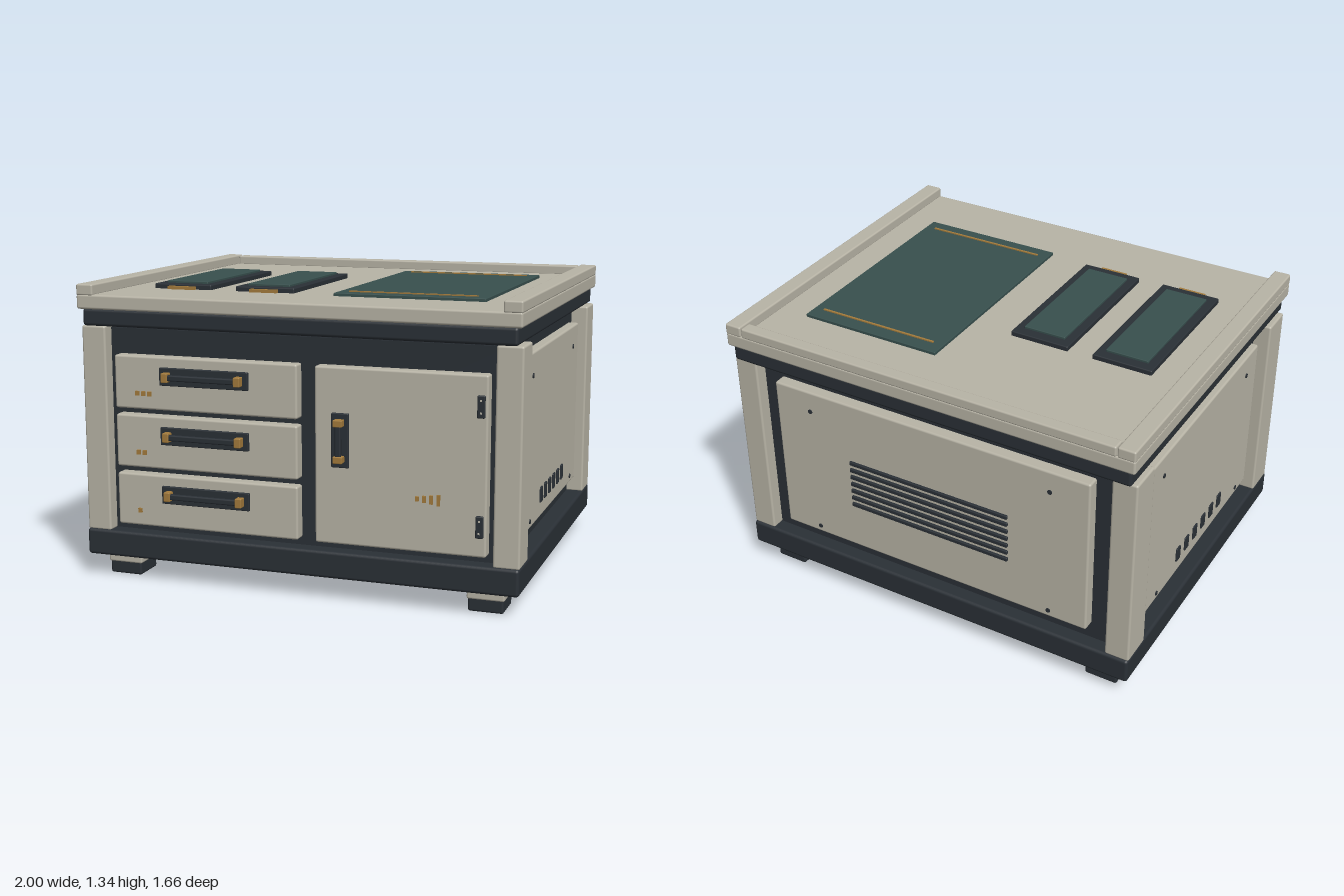
import * as THREE from 'three';
import { RoundedBoxGeometry } from 'three/addons/geometries/RoundedBoxGeometry.js';

const mat = (color) => new THREE.MeshStandardMaterial({ color });

export function createModel() {
  const model = new THREE.Group();
  const light = mat(0xb8b4a6), dark = mat(0x2a3036), glass = mat(0x38504e), brass = mat(0xa37b3c);

  // Box from its limits; r > 0 softens the edges
  function box(name, m, [x0, x1], [y0, y1], [z0, z1], r = 0, parent = model) {
    const w = x1 - x0, h = y1 - y0, d = z1 - z0;
    const geo = r ? new RoundedBoxGeometry(w, h, d, 2, r) : new THREE.BoxGeometry(w, h, d);
    const mesh = new THREE.Mesh(geo, m);
    mesh.name = name;
    mesh.position.set((x0 + x1) / 2, (y0 + y1) / 2, (z0 + z1) / 2);
    parent.add(mesh);
    return mesh;
  }
  const around = (c, size) => [c - size / 2, c + size / 2];
  const group = (name) => {
    const g = new THREE.Group();
    g.name = name;
    model.add(g);
    return g;
  };
  // Small round screw head facing local +z
  function screw(x, y, z, r, parent) {
    const s = new THREE.Mesh(new THREE.CylinderGeometry(r, r, 0.012, 12), dark);
    s.name = 'screw';
    s.rotation.x = Math.PI / 2;
    s.position.set(x, y, z);
    parent.add(s);
  }

  // Carcass, plinth and worktop
  box('carcass', dark, [-0.92, 0.92], [0.2, 1.137], [-0.73, 0.73]);
  box('plinth', dark, [-1, 1], [0.1, 0.22], [-0.8, 0.8], 0.014);
  box('neck', dark, [-0.98, 0.98], [1.15, 1.227], [-0.815, 0.815], 0.014);
  box('neckCore', dark, [-0.9, 0.9], [1.13, 1.16], [-0.72, 0.72]);
  box('worktop', light, [-1, 1], [1.225, 1.29], [-0.83, 0.83], 0.01);
  box('backRail', light, [-0.915, 0.915], [1.285, 1.332], [-0.83, -0.77], 0.008);

  for (const s of [-1, 1]) {
    box('sideRail', light, around(s * 0.96, 0.08), [1.285, 1.335], [-0.83, 0.83], 0.008);
    // Corner posts and feet
    for (const t of [-1, 1]) {
      box('cornerPost', light, around(s * 0.9425, 0.115), [0.215, 1.148], around(t * 0.71, 0.16), 0.01);
      box('footCollar', light, around(s * 0.845, 0.165), [0.055, 0.105], around(t * 0.655, 0.165), 0.008);
      box('footPad', dark, around(s * 0.845, 0.155), [0, 0.065], around(t * 0.655, 0.155), 0.01);
    }
    // Side panel, built facing +z and turned outward
    const side = group('sidePanel');
    box('panel', light, [-0.58, 0.58], [0.3, 1.075], [0.91, 0.965], 0.01, side);
    for (let i = 0; i < 6; i++)
      box('ventSlot', dark, around((i - 2.5) * 0.092, 0.042), [0.37, 0.44], [0.95, 0.972], 0.004, side);
    for (const x of [-0.45, 0.45]) for (const y of [0.335, 0.975]) screw(x, y, 0.963, 0.011, side);
    side.rotation.y = s * Math.PI / 2;
  }

  // Back panel with louvres
  const back = group('backPanel');
  box('panel', light, [-0.79, 0.79], [0.3, 1.075], [0.72, 0.785], 0.01, back);
  for (let i = 0; i < 7; i++)
    box('louvre', dark, [-0.405, 0.405], around(0.54 + i * 0.038, 0.019), [0.775, 0.796], 0.004, back);
  for (const x of [-0.605, 0.605]) for (const y of [0.335, 0.975]) screw(x, y, 0.783, 0.011, back);
  back.rotation.y = Math.PI;

  // Handle lying along x: plate, two brass mounts and a bar
  function handle(length, width, x, y, upright) {
    const g = group('handle');
    const h = length / 2;
    box('handlePlate', dark, [-h, h], around(0, width), [-0.01, 0.012], 0.004, g);
    for (const s of [-1, 1])
      box('handleMount', brass, around(s * (h - 0.039), 0.03), around(0, 0.042), [0.005, 0.047], 0.004, g);
    box('handleBar', dark, [0.05 - h, h - 0.05], around(0, 0.026), [0.022, 0.042], 0.006, g);
    g.position.set(x, y, 0.785);
    if (upright) g.rotation.z = Math.PI / 2;
  }

  // Drawers, each with a count of brass marks
  [[0.785, 1.023], [0.52, 0.757], [0.253, 0.49]].forEach((ys, i) => {
    box('drawerFront', light, [-0.845, 0.02], ys, [0.72, 0.785], 0.01);
    handle(0.42, 0.08, -0.412, ys[1] - 0.085, false);
    for (let k = 0; k < 3 - i; k++)
      box('drawerMark', brass, around(-0.734 + k * 0.03, 0.017), around(ys[1] - 0.166, 0.02), [0.78, 0.795]);
  });

  // Door with hinges and rising brass marks
  box('door', light, [0.1, 0.855], [0.253, 1.023], [0.72, 0.785], 0.01);
  handle(0.235, 0.078, 0.217, 0.71, true);
  for (const y of [0.385, 0.892]) {
    box('hinge', dark, around(0.827, 0.033), around(y, 0.095), [0.77, 0.797], 0.005);
    for (const d of [-0.026, 0.026])
      box('hingePin', light, around(0.827, 0.008), around(y + d, 0.008), [0.79, 0.799]);
  }
  for (let k = 0; k < 4; k++)
    box('doorMark', brass, around(0.557 + k * 0.031, 0.014), around(0.485, 0.02 + k * 0.009), [0.78, 0.795]);

  // Two narrow framed plates
  for (const x of [-0.645, -0.245]) {
    box('plateFrame', dark, around(x, 0.28), [1.28, 1.312], [-0.23, 0.49], 0.005);
    box('plateGlass', glass, around(x, 0.2), [1.3, 1.322], [-0.18, 0.44], 0.003);
    box('plateTab', brass, around(x, 0.13), [1.285, 1.304], [0.48, 0.512]);
  }
  // Large glass pane with brass lines
  box('glassPane', glass, [0.095, 0.775], [1.28, 1.304], [-0.54, 0.53], 0.003);
  for (const z of [-0.47, 0.465])
    box('paneLine', brass, [0.145, 0.727], [1.3, 1.309], around(z, 0.01));

  return model;
}
